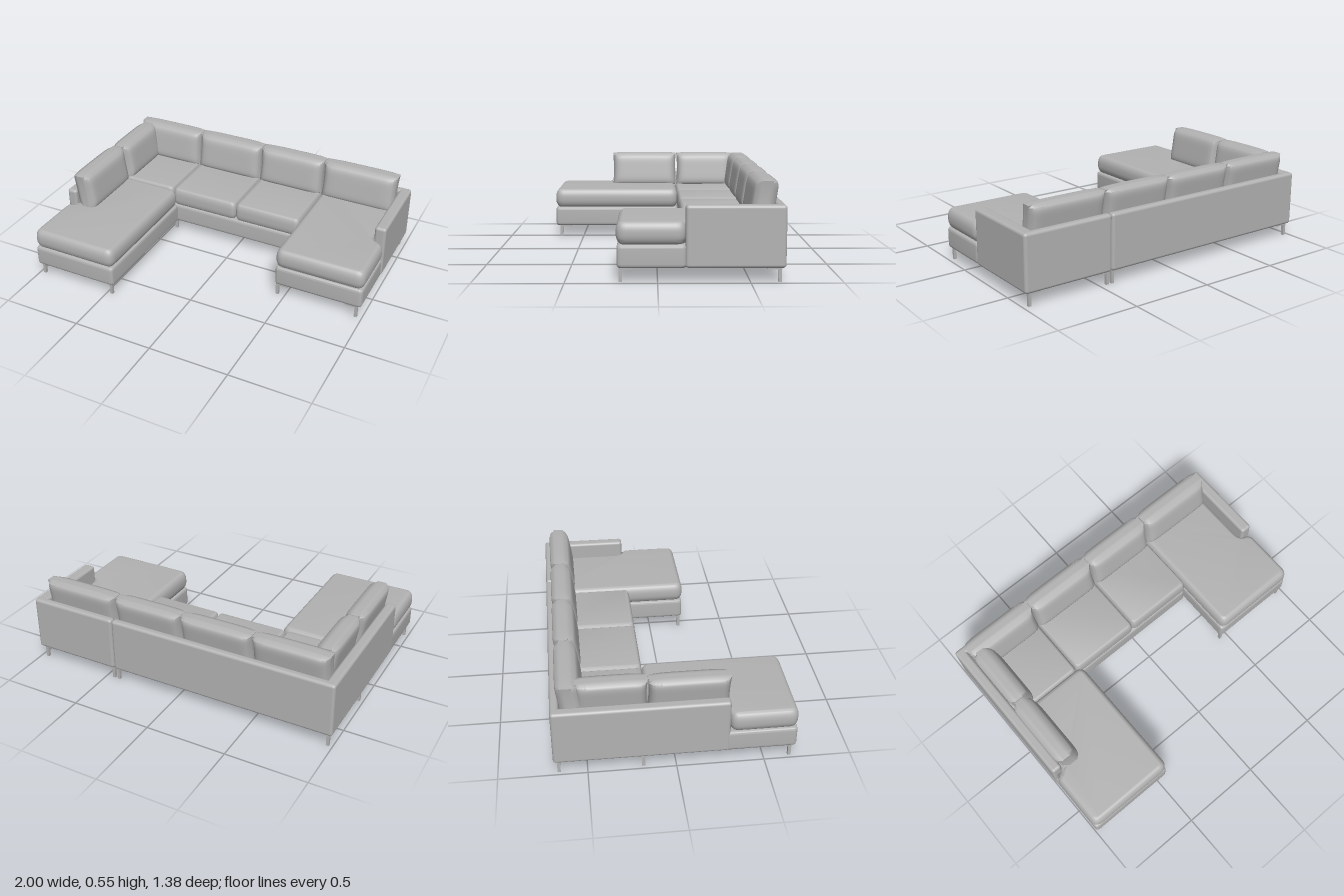
import * as THREE from 'three';
import { toCreasedNormals } from 'three/addons/utils/BufferGeometryUtils.js';
import { RoundedBoxGeometry } from 'three/addons/geometries/RoundedBoxGeometry.js';

const upholstery = new THREE.MeshStandardMaterial({ color: 0xb2b2b2 });
upholstery.name = 'grey upholstery';

function add(parent, name, geometry) {
  const mesh = new THREE.Mesh(geometry, upholstery);
  mesh.name = name;
  parent.add(mesh);
  return mesh;
}

// Corner list [x, z] of a rectangle
const rect = (x0, x1, z0, z1) => [[x0, z0], [x1, z0], [x1, z1], [x0, z1]];

// Outline with softened corners
function softShape(points, r) {
  const v = points.map(([x, z]) => new THREE.Vector2(x, -z));
  const shape = new THREE.Shape();
  v.forEach((p, i) => {
    const prev = v[(i + v.length - 1) % v.length];
    const next = v[(i + 1) % v.length];
    const a = prev.clone().sub(p).setLength(r).add(p);
    const b = next.clone().sub(p).setLength(r).add(p);
    if (i === 0) shape.moveTo(a.x, a.y);
    else shape.lineTo(a.x, a.y);
    shape.quadraticCurveTo(p.x, p.y, b.x, b.y);
  });
  shape.closePath();
  return shape;
}

// Horizontal upholstered slab with rounded rims
function pad(parent, name, points, y0, y1, rim, rimHeight, corner) {
  const geo = new THREE.ExtrudeGeometry(softShape(points, corner), {
    depth: y1 - y0 - 2 * rimHeight, curveSegments: 6, bevelEnabled: true,
    bevelSize: rim, bevelOffset: -rim, bevelThickness: rimHeight, bevelSegments: 8,
  });
  geo.rotateX(-Math.PI / 2).translate(0, y0 + rimHeight, 0);
  add(parent, name, toCreasedNormals(geo, 0.7));
}

// Upright slab from x0..x1, z0..z1
function panel(parent, name, x0, x1, z0, z1) {
  const y0 = 0.08, y1 = 0.42;
  const geo = new RoundedBoxGeometry(x1 - x0, y1 - y0, z1 - z0, 4, 0.018);
  add(parent, name, geo).position.set((x0 + x1) / 2, (y0 + y1) / 2, (z0 + z1) / 2);
}

// Leaning back pillow: full in the middle, thin at its edges
function pillow(parent, name, width) {
  const h = 0.235, d = 0.135;
  const geo = new THREE.BoxGeometry(width, h, d, 24, 16, 4);
  const p = geo.attributes.position;
  for (let i = 0; i < p.count; i++) {
    const u = p.getX(i) / (width / 2), v = p.getY(i) / (h / 2);
    const full = Math.sqrt(Math.max(0, (1 - u ** 10) * (1 - v ** 6)));
    const sag = 0.006 * u * u * Math.max(0, 1 - v * v);
    p.setX(i, p.getX(i) - Math.sign(u) * sag);
    p.setY(i, p.getY(i) - 0.006 * Math.max(0, v) * u ** 4);
    p.setZ(i, p.getZ(i) * (0.42 + 0.58 * full) - 0.018 * v);
  }
  return add(parent, name, toCreasedNormals(geo, 0.8));
}

export function createModel() {
  const sofa = new THREE.Group();
  sofa.name = 'sectionalSofa';

  // Upholstered bases
  const bases = new THREE.Group();
  bases.name = 'bases';
  sofa.add(bases);
  const base = (name, pts) => pad(bases, name, pts, 0.08, 0.207, 0.014, 0.02, 0.025);
  base('leftChaiseBase', rect(-0.997, -0.437, -0.15, 0.685));
  base('middleBase', rect(-0.97, 0.43, -0.67, -0.145));
  base('rightChaiseBase', [[0.434, -0.67], [0.95, -0.67], [0.95, -0.155], [0.993, -0.155], [0.993, 0.22], [0.434, 0.22]]);

  // Seat cushions
  const seats = new THREE.Group();
  seats.name = 'seatCushions';
  sofa.add(seats);
  const seat = (name, pts) => pad(seats, name, pts, 0.205, 0.33, 0.034, 0.056, 0.055);
  seat('leftChaiseSeat', [[-0.94, -0.15], [-0.433, -0.15], [-0.433, 0.688], [-1, 0.688], [-1, 0.3], [-0.94, 0.3]]);
  seat('rightChaiseSeat', [[0.43, -0.65], [0.925, -0.65], [0.925, -0.155], [0.997, -0.155], [0.997, 0.225], [0.43, 0.225]]);
  const smallSeat = (name, x0, x1) => pad(seats, name, rect(x0, x1, -0.65, -0.142), 0.205, 0.326, 0.02, 0.05, 0.035);
  smallSeat('cornerSeat', -0.945, -0.472);
  smallSeat('middleSeatRight', -0.472, -0.012);
  smallSeat('middleSeatLeft', -0.012, 0.433);

  // Back frame and arms
  const frame = new THREE.Group();
  frame.name = 'frame';
  sofa.add(frame);
  panel(frame, 'backFrameMain', -0.985, 0.431, -0.69, -0.64);
  panel(frame, 'backFrameSide', 0.433, 0.985, -0.69, -0.64);
  panel(frame, 'longArm', -1, -0.935, -0.69, 0.3);
  panel(frame, 'shortArm', 0.925, 0.997, -0.69, -0.15);

  // Back pillows along the rear, then two along the long arm
  const pillows = new THREE.Group();
  pillows.name = 'backPillows';
  sofa.add(pillows);
  [[-0.94, -0.472], [-0.47, -0.013], [-0.011, 0.432], [0.436, 0.928]].forEach(([x0, x1], i) => {
    pillow(pillows, 'rearPillow' + (i + 1), x1 - x0).position.set((x0 + x1) / 2, 0.431, -0.578);
  });
  [[-0.55, -0.152, -0.864], [-0.148, 0.308, -0.874]].forEach(([z0, z1, x], i) => {
    const side = pillow(pillows, 'sidePillow' + (i + 1), z1 - z0);
    side.rotation.y = Math.PI / 2;
    side.position.set(x, 0.431, (z0 + z1) / 2);
  });

  // Legs with corner brackets: x, z and the inward directions of the bracket
  const legs = [
    [-0.97, 0.65, 1, -1], [-0.47, 0.65, -1, -1], [-0.97, -0.185, 1, -1], [-0.47, -0.185, -1, -1],
    [-0.97, -0.66, 1, 1], [0.415, -0.66, -1, 1], [0.45, -0.66, 1, 1], [0.96, -0.66, -1, 1],
    [0.415, -0.185, -1, -1], [0.45, 0.2, 1, -1], [0.96, 0.2, -1, -1],
  ];
  for (const [x, z, dx, dz] of legs) {
    const leg = new THREE.Group();
    leg.name = 'leg';
    leg.position.set(x, 0, z);
    add(leg, 'legPost', new THREE.BoxGeometry(0.018, 0.082, 0.018)).position.y = 0.041;
    add(leg, 'bracketAcross', new THREE.BoxGeometry(0.075, 0.012, 0.018)).position.set(dx * 0.03, 0.075, 0);
    add(leg, 'bracketAlong', new THREE.BoxGeometry(0.018, 0.012, 0.075)).position.set(0, 0.075, dz * 0.03);
    sofa.add(leg);
  }
  return sofa;
}
